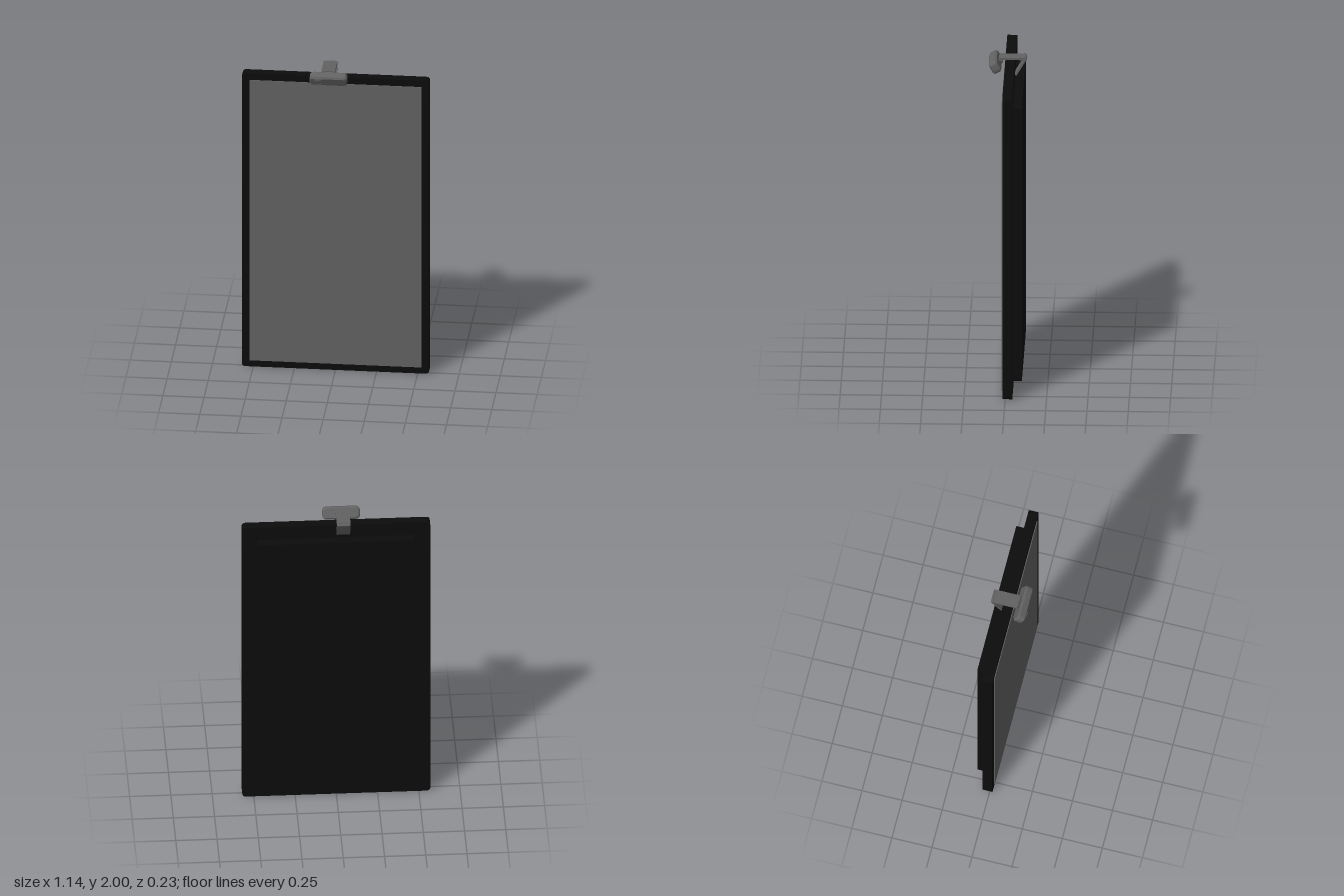
import * as THREE from 'three';

export function createModel() {
  const black = new THREE.MeshStandardMaterial({ color: 0x0c0c0c });
  black.name = 'matte black';
  const grey = new THREE.MeshStandardMaterial({ color: 0x626262 });
  grey.name = 'mid grey';

  const model = new THREE.Group();
  model.name = 'portraitDisplay';

  const add = (parent, name, geometry, material, x = 0, y = 0, z = 0) => {
    const mesh = new THREE.Mesh(geometry, material);
    mesh.name = name;
    mesh.position.set(x, y, z);
    parent.add(mesh);
    return mesh;
  };

  // Rounded slab centred on the origin, with optional bevelled rims
  const slab = (w, h, d, r, bevel = 0, segments = 6) => {
    const x = w / 2 - bevel, y = h / 2 - bevel;
    const s = new THREE.Shape();
    s.moveTo(-x + r, -y);
    s.lineTo(x - r, -y).quadraticCurveTo(x, -y, x, -y + r);
    s.lineTo(x, y - r).quadraticCurveTo(x, y, x - r, y);
    s.lineTo(-x + r, y).quadraticCurveTo(-x, y, -x, y - r);
    s.lineTo(-x, -y + r).quadraticCurveTo(-x, -y, -x + r, -y);
    return new THREE.ExtrudeGeometry(s, {
      depth: d - 2 * bevel, curveSegments: segments, bevelEnabled: bevel > 0,
      bevelThickness: bevel, bevelSize: bevel, bevelSegments: 1,
    }).translate(0, 0, -d / 2 + bevel);
  };

  // Display: frame, screen and rear housing
  add(model, 'frame', slab(1.14, 1.945, 0.06, 0.025), black, 0, 0.9725, -0.013);
  add(model, 'screen', new THREE.BoxGeometry(1.046, 1.86, 0.005), grey, 0, 0.972, 0.0195);
  add(model, 'rearHousing', slab(0.96, 1.765, 0.057, 0.012), black, 0, 0.9725, -0.0705);

  // Camera head, tipped down towards the viewer
  const head = new THREE.Group();
  head.name = 'cameraHead';
  head.position.set(-0.036, 1.957, 0.075);
  head.rotation.x = 0.5;
  model.add(head);
  add(head, 'cameraBody', slab(0.228, 0.078, 0.055, 0.016, 0.01, 3), grey);
  const ring = add(head, 'lensRing', new THREE.TorusGeometry(0.026, 0.004, 8, 32), grey, -0.061, 0.004, 0.0275);
  const lens = add(head, 'lens', new THREE.SphereGeometry(0.02, 24, 8, 0, Math.PI * 2, 0, Math.PI / 2),
    grey, ring.position.x, ring.position.y, 0.0275);
  lens.rotation.x = Math.PI / 2;
  lens.scale.y = 0.25;

  // Clip: top arm, hinges and the folding rear leg
  const clip = new THREE.Group();
  clip.name = 'cameraClip';
  clip.position.x = -0.0415;
  model.add(clip);
  add(clip, 'topArm', new THREE.BoxGeometry(0.083, 0.014, 0.148), grey, 0, 1.989, -0.026);
  add(clip, 'frontTab', new THREE.BoxGeometry(0.07, 0.024, 0.008), grey, 0, 1.972, 0.034);

  const knuckle = (name, x, length, r, y, z) => {
    const mesh = add(clip, name, new THREE.CylinderGeometry(r, r, length, 16), grey, x, y, z);
    mesh.rotation.z = Math.PI / 2;
  };
  knuckle('frontHinge', 0, 0.07, 0.009, 1.982, 0.046);
  knuckle('rearHingeCentre', 0, 0.042, 0.01, 1.986, -0.107);
  for (const side of [-1, 1]) knuckle('rearHingeOuter', side * 0.032, 0.019, 0.009, 1.986, -0.107);

  const top = new THREE.Vector2(-0.107, 1.984), foot = new THREE.Vector2(-0.049, 1.885);
  const leg = add(clip, 'rearLeg', new THREE.BoxGeometry(0.083, top.distanceTo(foot), 0.011), grey,
    0, (top.y + foot.y) / 2, (top.x + foot.x) / 2);
  leg.rotation.x = Math.atan2(top.x - foot.x, top.y - foot.y);

  return model;
}
